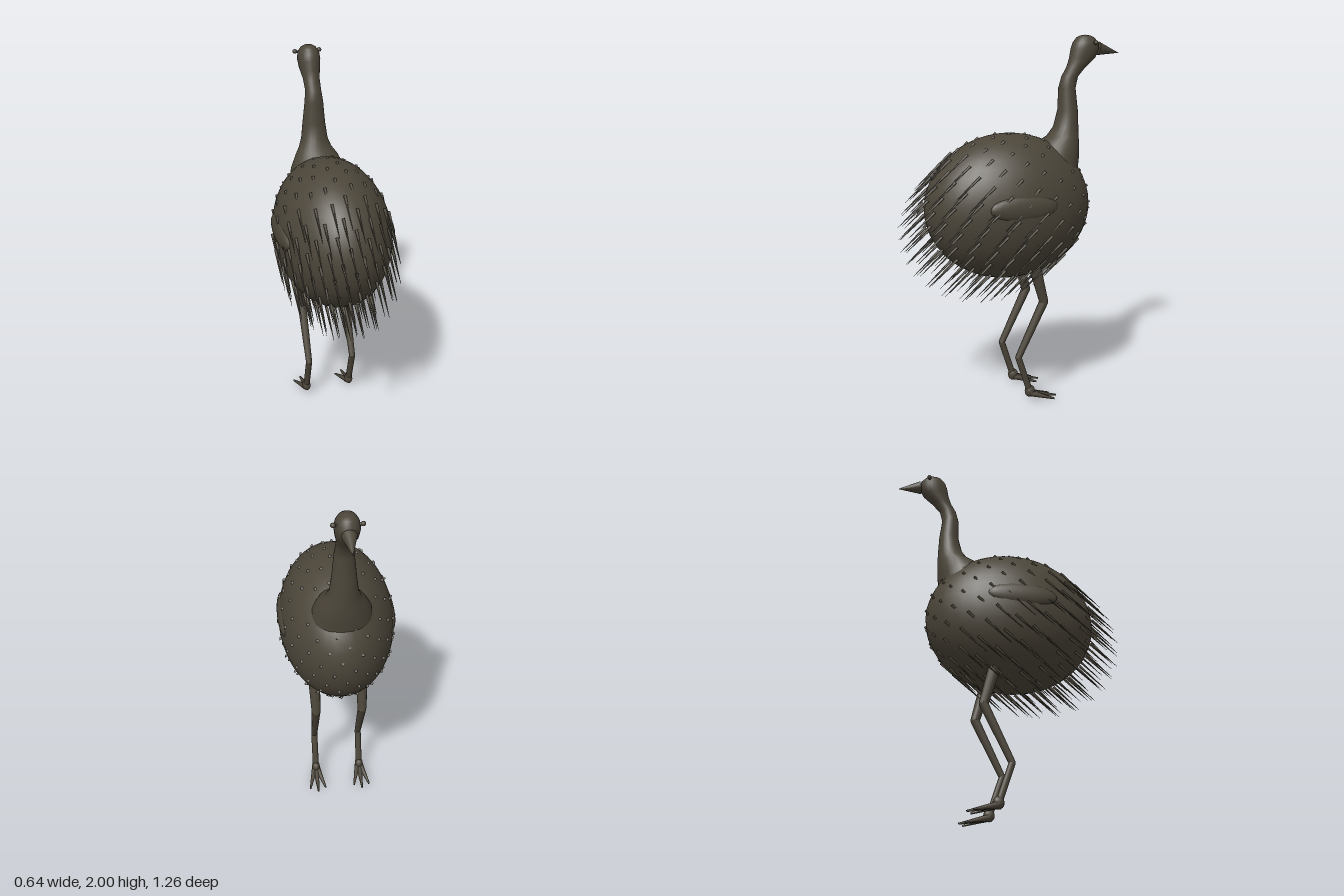
import * as THREE from 'three';

const plumage = new THREE.MeshStandardMaterial({ color: 0x4b4539 });
plumage.name = 'dark brown plumage';

function part(name, geometry, parent) {
  const mesh = new THREE.Mesh(geometry, plumage);
  mesh.name = name;
  parent.add(mesh);
  return mesh;
}

function ellipsoid(name, parent, position, radii, w = 24, h = 16) {
  const mesh = part(name, new THREE.SphereGeometry(1, w, h), parent);
  mesh.position.set(...position);
  mesh.scale.set(...radii);
  return mesh;
}

// Tapered round rod between two points
function rod(name, parent, from, to, r0, r1, sides = 12) {
  const a = new THREE.Vector3(...from), b = new THREE.Vector3(...to);
  const dir = b.clone().sub(a);
  const mesh = part(name, new THREE.CylinderGeometry(r1, r0, dir.length(), sides), parent);
  mesh.position.copy(a).add(b).multiplyScalar(0.5);
  mesh.quaternion.setFromUnitVectors(new THREE.Vector3(0, 1, 0), dir.normalize());
  return mesh;
}

// Horizontal cross-sections, bottom to top: height, back z, front z, half width
function neckGeometry() {
  const rows = [
    [1.25, -0.08, -0.355, 0.17], [1.36, -0.09, -0.372, 0.15], [1.425, -0.14, -0.374, 0.118],
    [1.46, -0.20, -0.374, 0.092], [1.51, -0.237, -0.373, 0.073], [1.6, -0.26, -0.369, 0.062],
    [1.72, -0.263, -0.355, 0.05], [1.78, -0.279, -0.37, 0.043], [1.83, -0.308, -0.415, 0.045],
    [1.88, -0.324, -0.472, 0.056], [1.925, -0.332, -0.492, 0.062], [1.96, -0.344, -0.487, 0.057],
    [1.985, -0.363, -0.465, 0.042], [1.996, -0.383, -0.442, 0.025], [2.0, -0.411, -0.413, 0.001],
  ];
  const sides = 24, pos = [], index = [];
  rows.forEach(([y, back, front, rx], i) => {
    for (let j = 0; j < sides; j++) {
      const t = (j / sides) * Math.PI * 2;
      pos.push(Math.sin(t) * rx, y, (back + front) / 2 + Math.cos(t) * (back - front) / 2);
      if (i === 0) continue;
      const k = (j + 1) % sides, lo = (i - 1) * sides, hi = i * sides;
      index.push(lo + j, lo + k, hi + k, lo + j, hi + k, hi + j);
    }
  });
  const g = new THREE.BufferGeometry();
  g.setAttribute('position', new THREE.Float32BufferAttribute(pos, 3));
  g.setIndex(index);
  g.computeVertexNormals();
  return g;
}

// Feathers spread evenly over the body, all sweeping back and down
function addFeathers(parent, centre, radii) {
  const count = 210, golden = Math.PI * (3 - Math.sqrt(5));
  const sweep = new THREE.Vector3(0, -0.66, 0.75).normalize().multiplyScalar(0.19);
  for (let i = 0; i < count; i++) {
    const v = 1 - (2 * (i + 0.5)) / count;
    const r = Math.sqrt(1 - v * v), a = i * golden;
    const n = [r * Math.cos(a), v, r * Math.sin(a)];
    if (n[1] > 0.55 && n[2] < -0.45) continue; // bare base of the neck
    const root = n.map((c, k) => centre[k] + c * radii[k] * 1.01);
    const tip = [root[0], root[1] + sweep.y, root[2] + sweep.z];
    rod('feather', parent, root, tip, 0.008, 0.0008, 6);
  }
}

function addLeg(parent, side) {
  const leg = new THREE.Group();
  leg.name = side > 0 ? 'leftLeg' : 'rightLeg';
  const x = 0.13 * side;
  const joints = [
    [x * 1.02, 0.76, -0.075, 0.033], [x, 0.57, -0.127, 0.025],
    [x, 0.265, 0.022, 0.018], [x, 0.06, -0.045, 0.018],
  ];
  const names = ['thigh', 'shin', 'shank'];
  joints.forEach(([jx, y, z, r], i) => {
    ellipsoid('joint', leg, [jx, y, z], [r, r, r], 12, 8);
    if (i === 0) return;
    const p = joints[i - 1];
    rod(names[i - 1], leg, p.slice(0, 3), [jx, y, z], p[3], r);
  });
  // Foot and three spread toes
  ellipsoid('foot', leg, [x, 0.058, -0.047], [0.024, 0.034, 0.03], 12, 8);
  for (const s of [-1, 0, 1]) {
    const tip = [x + s * 0.045, 0.009, s ? -0.178 : -0.205];
    rod('toe', leg, [x + s * 0.008, 0.046, -0.05], tip, 0.018, 0.005, 8);
  }
  parent.add(leg);
}

export function createModel() {
  const bird = new THREE.Group();
  bird.name = 'bird';

  const centre = [0, 1.095, 0.035], radii = [0.309, 0.395, 0.463];
  ellipsoid('body', bird, centre, radii, 36, 24);
  part('neckAndHead', neckGeometry(), bird);

  // Beak
  const beak = part('beak', new THREE.ConeGeometry(0.037, 0.13, 16), bird);
  beak.position.set(0, 1.914, -0.553);
  beak.rotation.x = -Math.PI / 2 - 0.2;

  for (const side of [-1, 1]) {
    // Eye with a small stalk to the head
    ellipsoid('eye', bird, [0.068 * side, 1.96, -0.445], [0.013, 0.012, 0.012], 12, 8);
    rod('eyeStalk', bird, [0.04 * side, 1.955, -0.44], [0.068 * side, 1.96, -0.445], 0.008, 0.006, 8);
    // Folded wing
    const wing = ellipsoid('wing', bird, [0.283 * side, 1.135, 0.05], [0.033, 0.068, 0.185]);
    wing.rotation.z = 0.05 * side;
    addLeg(bird, side);
  }

  const feathers = new THREE.Group();
  feathers.name = 'feathers';
  addFeathers(feathers, centre, radii);
  bird.add(feathers);
  return bird;
}
